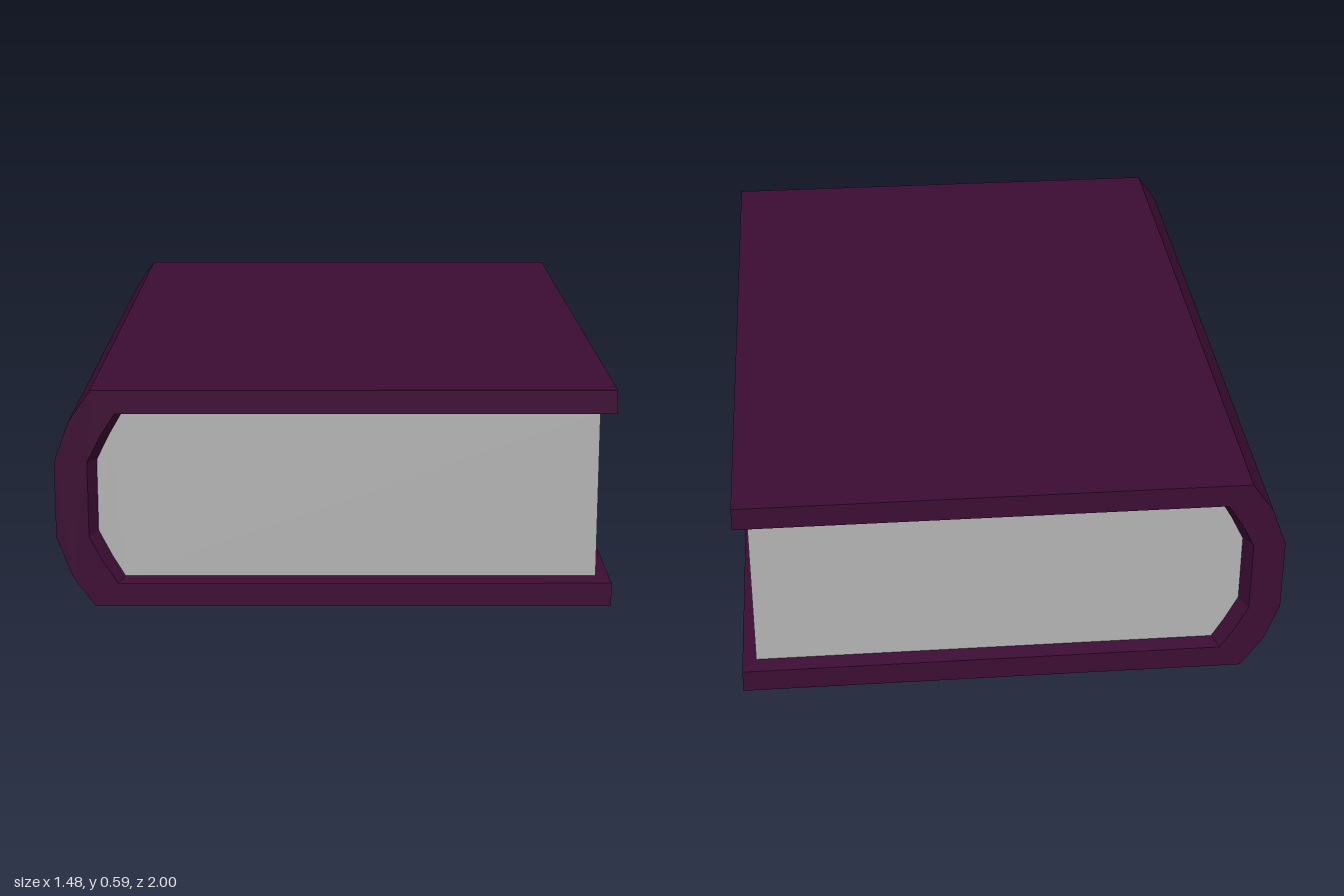
import * as THREE from 'three';

const H = 0.594; // total thickness

// Half profile (x, y) from fore-edge to spine, mirrored to the lower half
const mirrored = (half) => [...half, ...half.map(([x, y]) => [x, H - y]).reverse()];
const at = (path, z) => path.map(([x, y]) => [x, y, z]);

// Surface between two matching rows of points
function strip(a, b, smooth = false) {
  const n = a.length, index = [];
  for (let i = 0; i < n - 1; i++) index.push(i, n + i, n + i + 1, i, n + i + 1, i + 1);
  let geo = new THREE.BufferGeometry();
  geo.setAttribute('position', new THREE.Float32BufferAttribute([...a, ...b].flat(), 3));
  geo.setIndex(index);
  if (!smooth) geo = geo.toNonIndexed();
  geo.computeVertexNormals();
  return geo;
}

const toShape = (path) => new THREE.Shape(path.map(([x, y]) => new THREE.Vector2(x, y)));

export function createModel() {
  const coverMat = new THREE.MeshStandardMaterial({ color: 0x3c0d33, side: THREE.DoubleSide });
  coverMat.name = 'plumCover';
  const pageMat = new THREE.MeshStandardMaterial({ color: 0xb3b3b3 });
  pageMat.name = 'greyPaper';

  const outer = mirrored([[0.74, 0.594], [-0.64, 0.594], [-0.7, 0.508], [-0.74, 0.4]]);
  const inner = mirrored([[0.74, 0.53], [-0.578, 0.53], [-0.617, 0.47], [-0.653, 0.4]]);
  const paper = mirrored([[0.702, 0.523], [-0.563, 0.523], [-0.597, 0.465], [-0.632, 0.395]]);
  const last = outer.length - 1;
  const Z = 1, PZ = 0.955;

  const book = new THREE.Group();
  book.name = 'book';
  const cover = new THREE.Group();
  cover.name = 'cover';
  book.add(cover);
  const add = (name, geo) => {
    const mesh = new THREE.Mesh(geo, coverMat);
    mesh.name = name;
    cover.add(mesh);
  };

  // Boards and rounded spine
  const band = (from, to, smooth) =>
    strip(at(outer.slice(from, to), Z), at(outer.slice(from, to), -Z), smooth);
  add('topBoard', band(0, 2));
  add('spine', band(1, last, true));
  add('bottomBoard', band(last - 1, last + 1));

  // C-shaped rims at both ends
  const rim = [...outer, ...[...inner].reverse()];
  add('frontRim', new THREE.ShapeGeometry(toShape(rim)).translate(0, 0, Z));
  const flipped = rim.map(([x, y]) => [-x, y]);
  add('backRim', new THREE.ShapeGeometry(toShape(flipped)).rotateY(Math.PI).translate(0, 0, -Z));

  // Sloping inner lips that meet the paper
  add('frontLip', strip(at(paper, PZ), at(inner, Z)));
  add('backLip', strip(at(inner, -Z), at(paper, -PZ)));
  const along = ([x, y], z) => [[x, y, z], [x, y, -z]];
  add('topForeLip', strip(along(inner[0], Z), along(paper[0], PZ)));
  add('bottomForeLip', strip(along(paper[last], PZ), along(inner[last], Z)));

  // Fore-edges of the boards
  add('topForeEdge', strip(along(outer[0], Z), along(inner[0], Z)));
  add('bottomForeEdge', strip(along(inner[last], Z), along(outer[last], Z)));

  // Page block
  const pages = new THREE.Mesh(
    new THREE.ExtrudeGeometry(toShape(paper), { depth: 2 * PZ, bevelEnabled: false }).translate(0, 0, -PZ),
    pageMat
  );
  pages.name = 'pages';
  book.add(pages);

  return book;
}
